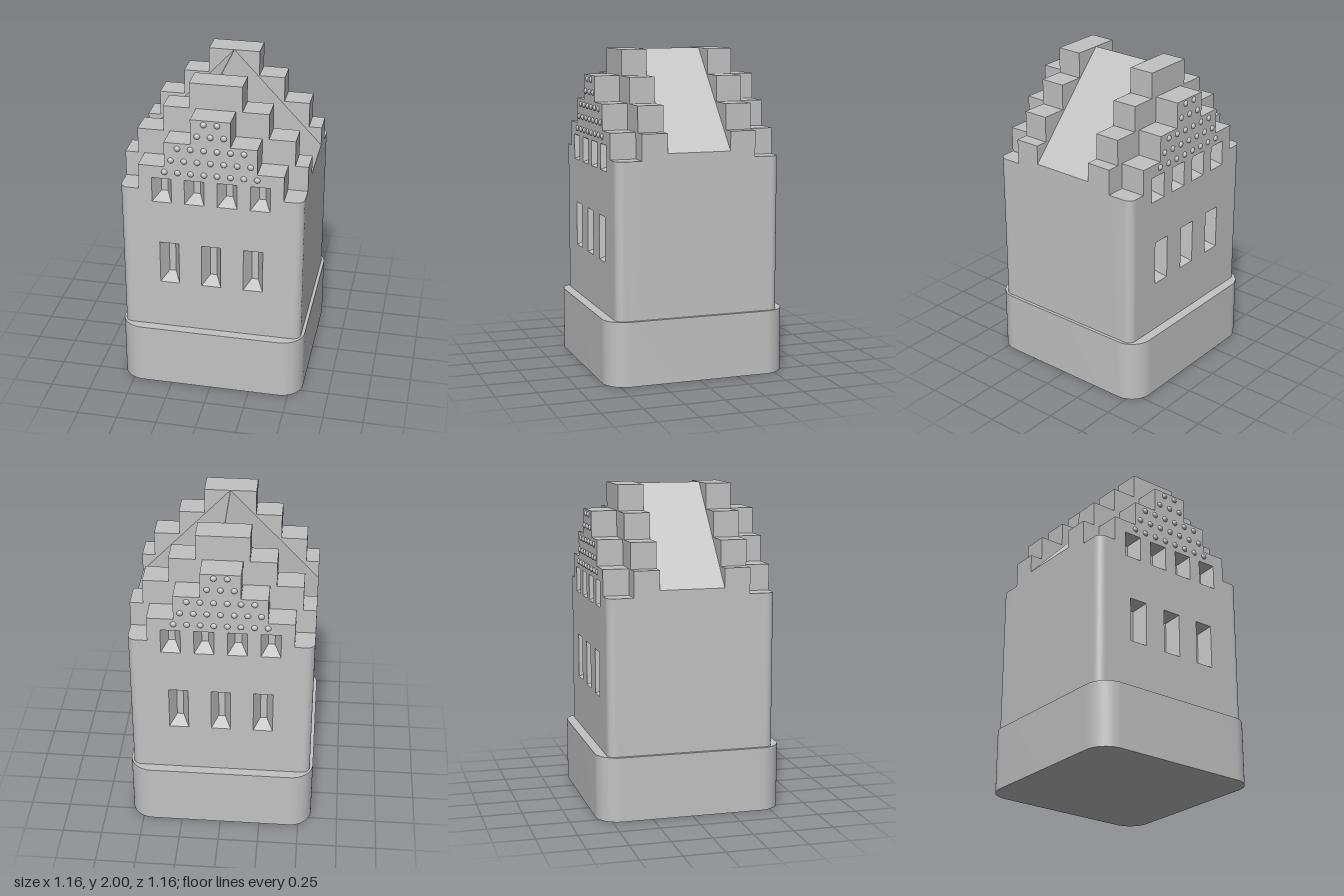
import * as THREE from 'three';
import { mergeGeometries, toCreasedNormals } from 'three/addons/utils/BufferGeometryUtils.js';

// Outline in x/y, extruded from z0 to z1
function extrudeZ(shape, z0, z1) {
  return new THREE.ExtrudeGeometry(shape, { depth: z1 - z0, bevelEnabled: false }).translate(0, 0, z0);
}

// Floor-plan outline (x, -z), extruded upward from y0 to y1
function extrudeY(shape, y0, y1) {
  const g = new THREE.ExtrudeGeometry(shape, { depth: y1 - y0, bevelEnabled: false, curveSegments: 12 });
  return toCreasedNormals(g.rotateX(-Math.PI / 2).translate(0, y0, 0), 0.5);
}

function roundedRect(w, d, r) {
  const s = new THREE.Shape(), x = w / 2, y = d / 2;
  s.absarc(x - r, y - r, r, 0, Math.PI / 2);
  s.absarc(-x + r, y - r, r, Math.PI / 2, Math.PI);
  s.absarc(-x + r, -y + r, r, Math.PI, Math.PI * 1.5);
  s.absarc(x - r, -y + r, r, Math.PI * 1.5, Math.PI * 2);
  s.closePath();
  return s;
}

// Symmetric outline from its right-hand half, bottom to top
function mirrored(half) {
  const left = half.map(([x, y]) => [-x, y]).reverse();
  return new THREE.Shape([...half, ...left].map(([x, y]) => new THREE.Vector2(x, y)));
}

function rectCorners(x, y, w, h) {
  return [[x - w / 2, y - h / 2], [x + w / 2, y - h / 2], [x + w / 2, y + h / 2], [x - w / 2, y + h / 2]];
}

// Splayed window recess: four sloping sides and a smaller back pane
function recess({ x, y, w, h }, z, depth, inset) {
  const o = rectCorners(x, y, w, h).map(([a, b]) => [a, b, z]);
  const i = rectCorners(x, y, w - 2 * inset, h - 2 * inset).map(([a, b]) => [a, b, z - depth]);
  const tris = [i[0], i[1], i[2], i[0], i[2], i[3]];
  for (let k = 0; k < 4; k++) {
    const n = (k + 1) % 4;
    tris.push(o[k], o[n], i[n], o[k], i[n], i[k]);
  }
  const g = new THREE.BufferGeometry();
  g.setAttribute('position', new THREE.Float32BufferAttribute(tris.flat(), 3));
  g.computeVertexNormals();
  return g;
}

export function createModel() {
  const stone = new THREE.MeshStandardMaterial({ color: 0xc2c2c2 });
  stone.name = 'grey stone';
  const model = new THREE.Group();
  model.name = 'steppedGableHouse';
  const add = (parent, name, geometry) => {
    const m = new THREE.Mesh(geometry, stone);
    m.name = name;
    parent.add(m);
  };

  // Plinth, and the middle of the house under its pitched roof
  add(model, 'plinth', extrudeY(roundedRect(1.16, 1.16, 0.14), 0, 0.4));
  add(model, 'roofAndWalls', extrudeZ(mirrored([[0.56, 0.4], [0.56, 1.4], [0.001, 2]]), -0.2, 0.2));

  // Windows: three tall ones below, four short ones above
  const windows = [
    ...[-0.26, 0, 0.26].map((x) => ({ x, y: 0.86, w: 0.12, h: 0.28 })),
    ...[-0.3, -0.1, 0.1, 0.3].map((x) => ({ x, y: 1.36, w: 0.12, h: 0.16 })),
  ];

  // Front face outline with a lower stepped gable and window openings
  const face = mirrored([
    [0.51, 0.4], [0.51, 1.36], [0.44, 1.36], [0.44, 1.52],
    [0.28, 1.52], [0.28, 1.68], [0.12, 1.68], [0.12, 1.84],
  ]);
  for (const { x, y, w, h } of windows) {
    face.holes.push(new THREE.Path(rectCorners(x, y, w, h).map(([a, b]) => new THREE.Vector2(a, b))));
  }

  // Taller stepped gable behind the face
  const tallGable = mirrored([
    [0.56, 0.4], [0.56, 1.52], [0.48, 1.52], [0.48, 1.68],
    [0.32, 1.68], [0.32, 1.84], [0.16, 1.84], [0.16, 2],
  ]);

  // Rows of studs: [height, count]
  const studs = [];
  for (const [y, n] of [[1.485, 8], [1.565, 7], [1.645, 6], [1.735, 3], [1.813, 2]]) {
    for (let k = 0; k < n; k++) {
      studs.push(new THREE.SphereGeometry(0.02, 16, 12).translate((k - (n - 1) / 2) * 0.08, y, 0.513));
    }
  }

  // Matching front and back
  for (const side of ['front', 'back']) {
    const facade = new THREE.Group();
    facade.name = side + 'Facade';
    add(facade, 'tallGable', extrudeZ(tallGable, 0.2, 0.36));
    add(facade, 'lowGableFace', extrudeZ(face, 0.36, 0.52));
    add(facade, 'windowRecesses', mergeGeometries(windows.map((w) => recess(w, 0.52, 0.08, 0.04))));
    add(facade, 'studs', mergeGeometries(studs));
    // Rounded wall corners
    for (const s of [1, -1]) {
      const plan = new THREE.Shape();
      plan.moveTo(s * 0.51, -0.36);
      plan.lineTo(s * 0.56, -0.36);
      plan.lineTo(s * 0.56, -0.47);
      plan.absarc(s * 0.51, -0.47, 0.05, s > 0 ? 0 : Math.PI, -Math.PI / 2 + (s > 0 ? 0 : Math.PI * 2), s > 0);
      plan.closePath();
      add(facade, s > 0 ? 'leftCorner' : 'rightCorner', extrudeY(plan, 0.4, 1.36));
    }
    if (side === 'back') facade.rotation.y = Math.PI;
    model.add(facade);
  }
  return model;
}
